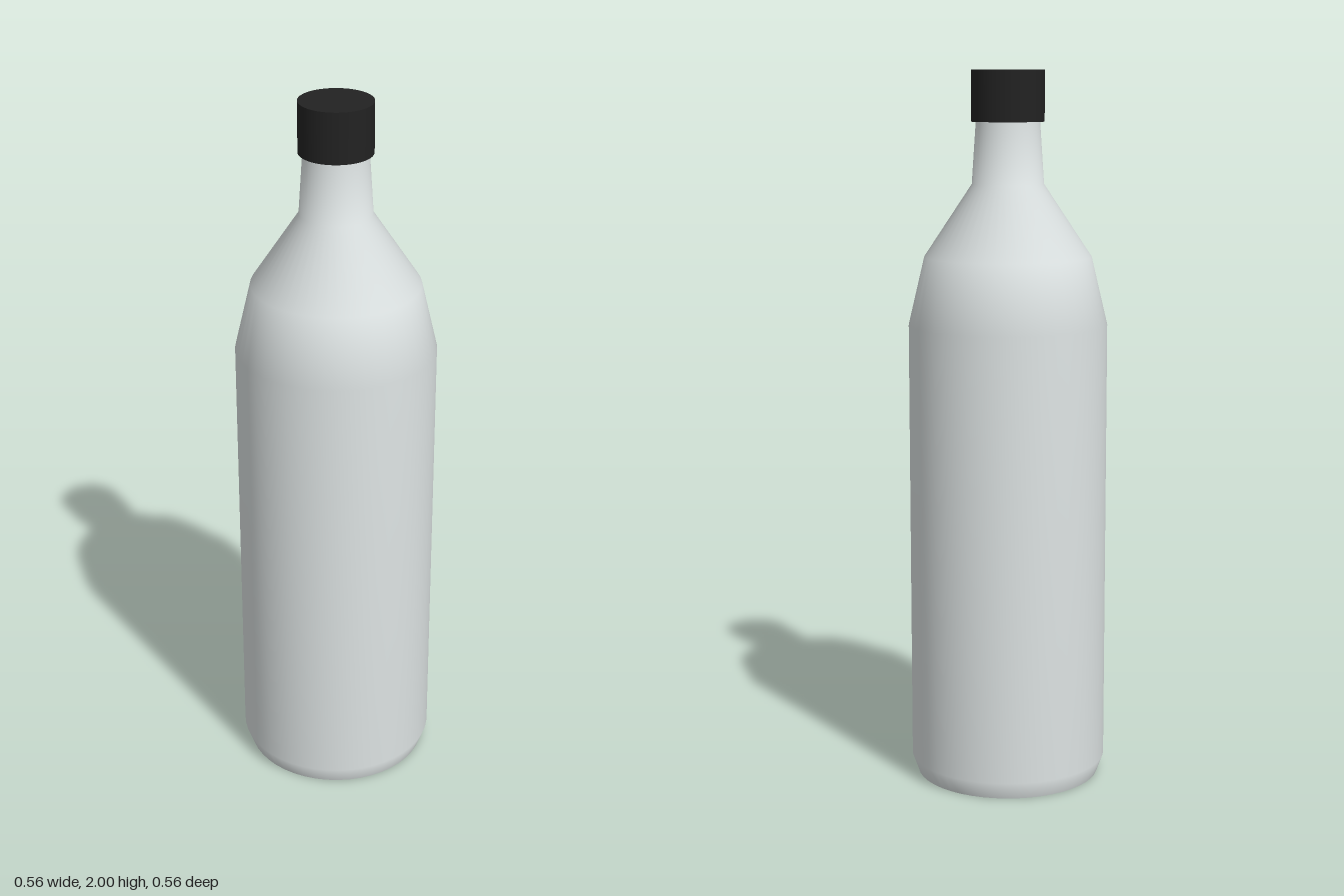
import * as THREE from 'three';

const SIDES = 48;

export function createModel() {
  const bodyGrey = new THREE.MeshStandardMaterial({ color: 0xdde3e3 });
  bodyGrey.name = 'pale grey';
  const capBlack = new THREE.MeshStandardMaterial({ color: 0x222222 });
  capBlack.name = 'cap black';

  const model = new THREE.Group();
  model.name = 'bottle';
  const add = (name, geometry, material) => {
    const mesh = new THREE.Mesh(geometry, material);
    mesh.name = name;
    model.add(mesh);
    return mesh;
  };

  // Bottle wall: chamfered foot, straight body, two-step shoulder, tapered neck
  const profile = [
    [0.26, 0], [0.278, 0.05], [0.278, 1.3], [0.233, 1.49], [0.1, 1.69], [0.088, 1.87],
  ].map(([r, y]) => new THREE.Vector2(r, y));
  add('body', new THREE.LatheGeometry(profile, SIDES), bodyGrey);

  // Flat base, facing down with a crisp edge
  add('base', new THREE.CircleGeometry(0.26, SIDES).rotateX(Math.PI / 2), bodyGrey);

  // Screw cap
  add('cap', new THREE.CylinderGeometry(0.101, 0.101, 0.14, SIDES), capBlack).position.y = 1.93;

  return model;
}
